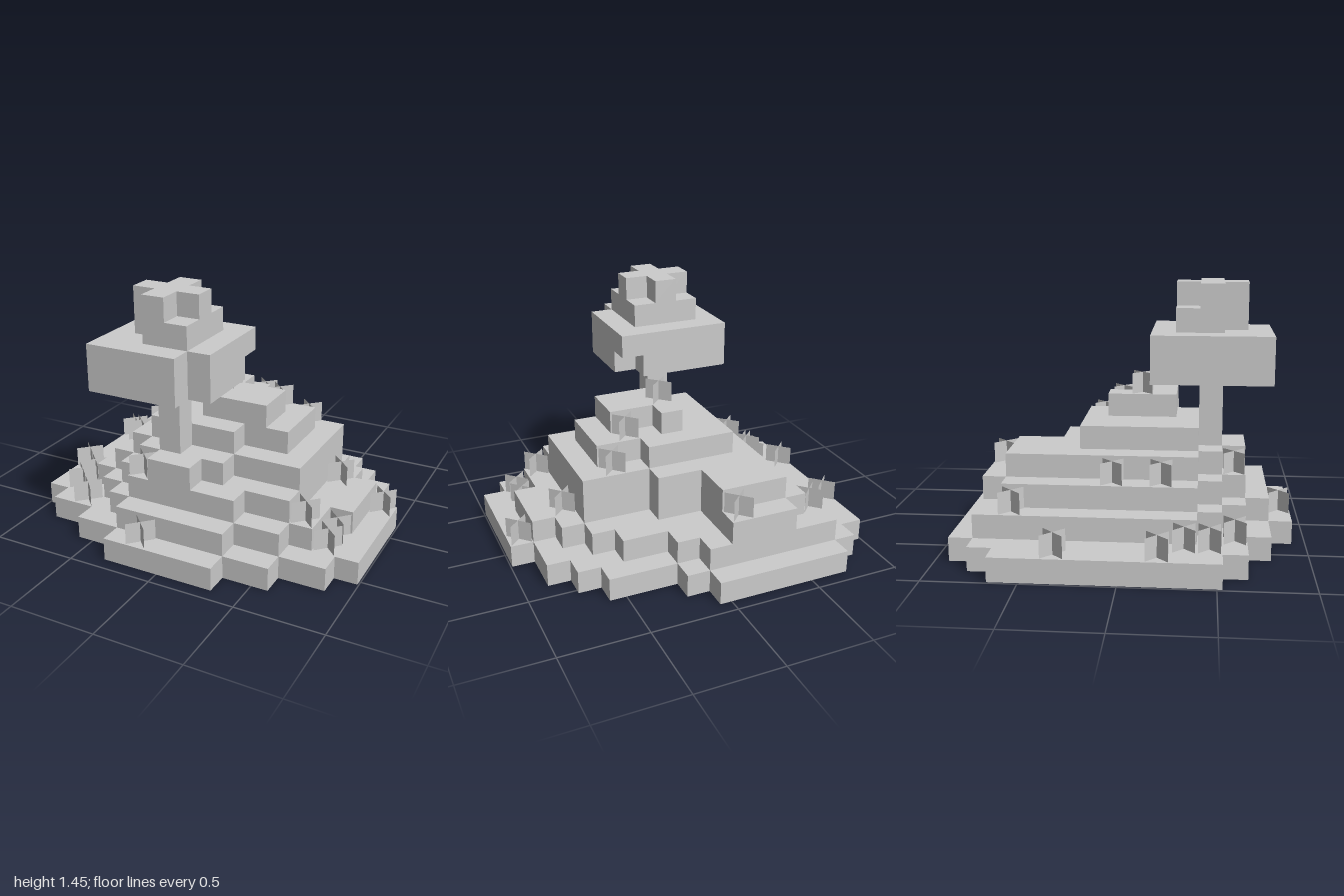
import * as THREE from 'three';

const S = 0.132, X0 = -0.988, Z0 = -0.924;
const stone = new THREE.MeshStandardMaterial({ color: 0xcccccc, side: THREE.DoubleSide });
stone.name = 'pale grey';

// Hill layers from the ground up: first row, then [start, end) column spans per row
const hill = [
  { row: 0, spans: [[2, 8], [1, 9], [0, 12], [0, 13], [0, 14], [0, 14], [0, 15], [0, 15], [0, 15], [0, 15], [0, 15], [1, 14], [3, 12], [5, 10]] },
  { row: 1, spans: [[2, 8], [2, 9], [2, 11], [2, 12], [2, 13], [2, 14], [2, 14], [2, 14], [2, 13], [3, 13], [4, 12], [5, 10]] },
  { row: 1, spans: [[4, 7], [3, 7], [3, 7], [3, 9], [3, 12], [3, 12], [3, 12], [3, 12], [3, 12], [4, 12], [5, 10]] },
  { row: 2, spans: [[4, 7], [4, 7], [4, 9], [4, 12], [4, 12], [4, 12], [4, 12], [4, 12], [5, 9], [6, 8]] },
  { row: 5, spans: [[5, 9], [5, 11], [5, 11], [5, 11], [5, 9]] },
  { row: 6, spans: [[7, 8], [7, 10], [7, 10]] },
];

function inHill(i, j, k) {
  const layer = hill[k];
  const span = layer && layer.spans[j - layer.row];
  return !!span && i >= span[0] && i < span[1];
}

// Leaves: levels 7-8 are the wide crown, 9-10 the small cap, with cut corners
function inLeaves(i, j, k) {
  if (k === 7 || k === 8) {
    if (i < 4 || i > 8 || j < 8 || j > 12) return false;
    if (i === 8 && j === 12) return false;
    return !(k === 7 && i === 8 && j === 8);
  }
  if (k === 9 || k === 10) {
    if (i < 5 || i > 7 || j < 9 || j > 11) return false;
    const corner = i !== 6 && j !== 10;
    if (k === 10) return !corner;
    return !(i === 5 && j === 11);
  }
  return false;
}

const inTrunk = (i, j, k) => i === 6 && j === 10 && k >= 4 && k <= 6;

// Block faces: outward direction and four corners, anticlockwise from outside
const FACES = [
  { n: [1, 0, 0], c: [[1, 0, 1], [1, 0, 0], [1, 1, 0], [1, 1, 1]] },
  { n: [-1, 0, 0], c: [[0, 0, 0], [0, 0, 1], [0, 1, 1], [0, 1, 0]] },
  { n: [0, 1, 0], c: [[0, 1, 1], [1, 1, 1], [1, 1, 0], [0, 1, 0]] },
  { n: [0, -1, 0], c: [[0, 0, 0], [1, 0, 0], [1, 0, 1], [0, 0, 1]] },
  { n: [0, 0, 1], c: [[0, 0, 1], [1, 0, 1], [1, 1, 1], [0, 1, 1]] },
  { n: [0, 0, -1], c: [[1, 0, 0], [0, 0, 0], [0, 1, 0], [1, 1, 0]] },
];

// Mesh of only the exposed faces of the filled blocks on levels k0..k1
function blocks(name, filled, k0, k1, openBelow) {
  const pos = [], nor = [], idx = [];
  for (let k = k0; k <= k1; k++) for (let j = 0; j < 14; j++) for (let i = 0; i < 15; i++) {
    if (!filled(i, j, k)) continue;
    for (const { n, c } of FACES) {
      if (openBelow && n[1] < 0) continue;
      if (filled(i + n[0], j + n[2], k + n[1])) continue;
      const b = pos.length / 3;
      for (const p of c) {
        pos.push(X0 + (i + p[0]) * S, (k + p[1]) * S, Z0 + (j + p[2]) * S);
        nor.push(...n);
      }
      idx.push(b, b + 1, b + 2, b, b + 2, b + 3);
    }
  }
  const g = new THREE.BufferGeometry();
  g.setAttribute('position', new THREE.Float32BufferAttribute(pos, 3));
  g.setAttribute('normal', new THREE.Float32BufferAttribute(nor, 3));
  g.setIndex(idx);
  const mesh = new THREE.Mesh(g, stone);
  mesh.name = name;
  return mesh;
}

// Grass tuft: two upright planes crossed on the block diagonals
function tuft(i, j, k) {
  const group = new THREE.Group();
  group.name = 'grassTuft';
  const h = 0.12;
  for (const turn of [Math.PI / 4, -Math.PI / 4]) {
    const blade = new THREE.Mesh(new THREE.PlaneGeometry(0.165, h), stone);
    blade.name = 'grassBlade';
    blade.rotation.y = turn;
    blade.position.y = h / 2;
    group.add(blade);
  }
  group.position.set(X0 + (i + 0.5) * S, k * S, Z0 + (j + 0.5) * S);
  return group;
}

export function createModel() {
  const model = new THREE.Group();
  model.name = 'hillWithTree';

  // Hollow stepped hill
  hill.forEach((_, k) => model.add(blocks('hillLayer' + (k + 1), inHill, k, k, true)));

  // Tree
  const tree = new THREE.Group();
  tree.name = 'tree';
  tree.add(blocks('trunk', inTrunk, 4, 6, true));
  tree.add(blocks('lowerLeaves', inLeaves, 7, 8, false));
  tree.add(blocks('upperLeaves', inLeaves, 9, 10, false));
  model.add(tree);

  // Tufts as column, row, level
  const tufts = [
    [6, 13, 1], [13, 10, 1], [13, 9, 1], [14, 6, 1], [2, 11, 1], [1, 10, 1], [1, 9, 1], [0, 8, 1], [0, 4, 1],
    [12, 10, 2], [12, 6, 2], [2, 2, 2],
    [5, 11, 3], [3, 6, 3], [3, 8, 3], [6, 1, 3],
    [10, 5, 4], [9, 6, 5], [7, 7, 6],
  ];
  for (const [i, j, k] of tufts) if (!inHill(i, j, k)) model.add(tuft(i, j, k));
  return model;
}
